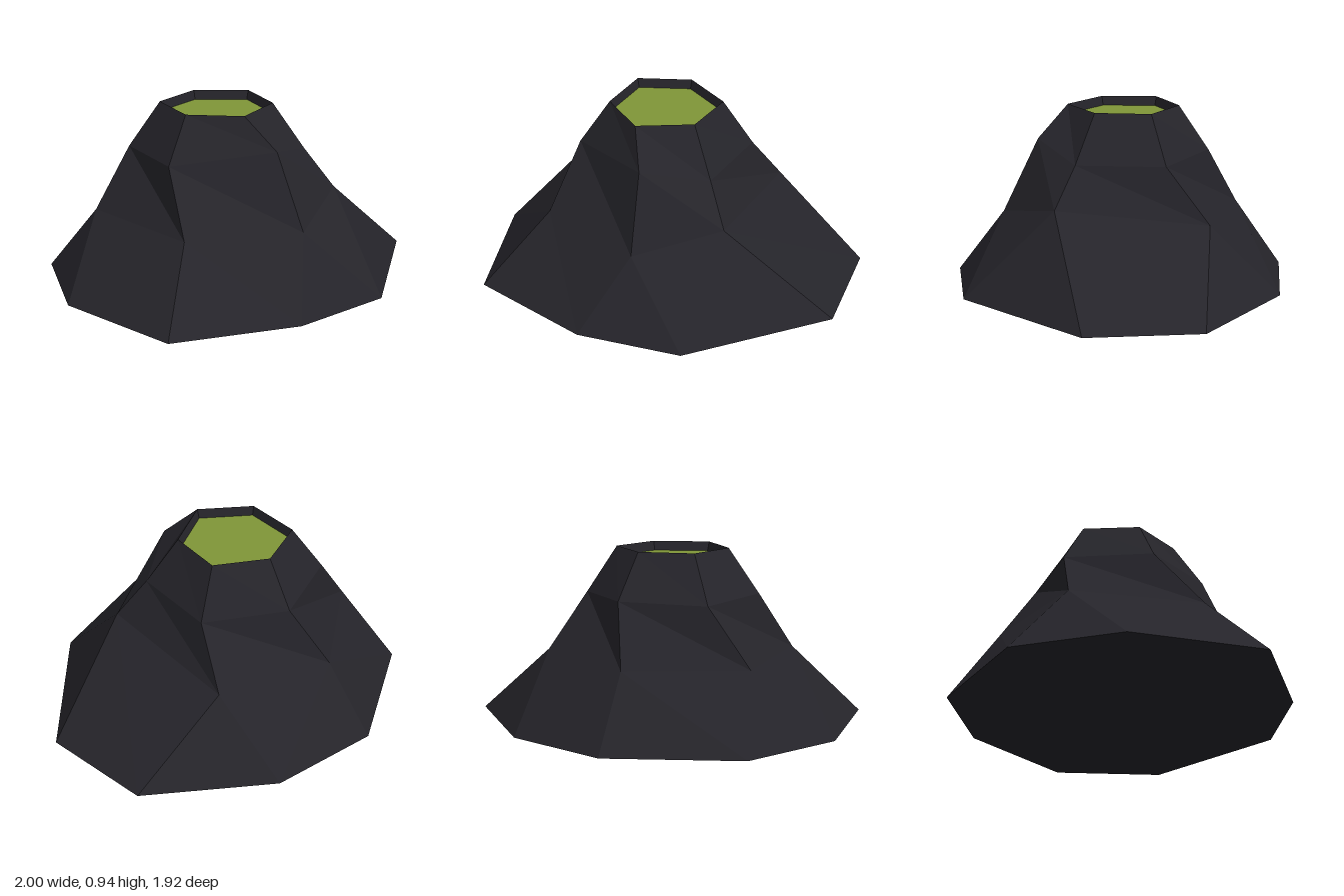
import * as THREE from 'three';

// Mountain outlines as [x, y, z], ordered clockwise seen from above
const foot = [
  [-0.03, 0, -0.96], [0.69, 0, -0.83], [1, 0, -0.31], [0.74, 0, 0.51], [0.27, 0, 0.82],
  [-0.41, 0, 0.96], [-0.9, 0, 0.44], [-1, 0, -0.15], [-0.6, 0, -0.76],
];
const lower = [
  [0.2, 0.4, -0.65], [0.55, 0.48, 0.07], [0.32, 0.38, 0.5],
  [-0.3, 0.38, 0.58], [-0.74, 0.38, 0.03], [-0.44, 0.38, -0.55],
];
const upper = [
  [0.22, 0.69, -0.41], [0.39, 0.69, 0.03], [0.2, 0.77, 0.35],
  [-0.36, 0.7, 0.32], [-0.55, 0.69, -0.11], [-0.24, 0.7, -0.46],
];
const rim = [
  [0.12, 0.94, -0.28], [0.22, 0.94, 0], [0.04, 0.94, 0.25],
  [-0.26, 0.94, 0.19], [-0.38, 0.94, -0.09], [-0.18, 0.94, -0.31],
];
// Crater floor: the rim drawn in slightly and sunk
const floor = rim.map(([x, , z]) => [-0.08 + (x + 0.08) * 0.95, 0.89, -0.035 + (z + 0.035) * 0.95]);

// First foot corner of each ridge's fan
const fanStart = [0, 1, 3, 4, 6, 7, 9];

// Faceted band between two rings with the same number of corners
function band(low, high) {
  return low.flatMap((p, i) => {
    const j = (i + 1) % low.length;
    return [p, high[i], high[j], p, high[j], low[j]];
  });
}

// Flat cap; rings run clockwise from above, so reverse for an upward face
function cap(ring, up) {
  const tris = [];
  for (let i = 1; i < ring.length - 1; i++) {
    tris.push(ring[0], ...(up ? [ring[i + 1], ring[i]] : [ring[i], ring[i + 1]]));
  }
  return tris;
}

// Spreading skirt that joins six ridges to nine foot corners
function skirt() {
  const tris = [];
  lower.forEach((top, i) => {
    for (let k = fanStart[i]; k < fanStart[i + 1]; k++) {
      tris.push(foot[k], top, foot[(k + 1) % foot.length]);
    }
    tris.push(foot[fanStart[i + 1] % foot.length], top, lower[(i + 1) % lower.length]);
  });
  return tris;
}

function facetMesh(name, corners, color) {
  const geometry = new THREE.BufferGeometry();
  geometry.setAttribute('position', new THREE.Float32BufferAttribute(corners.flat(), 3));
  geometry.computeVertexNormals();
  const mesh = new THREE.Mesh(geometry, new THREE.MeshStandardMaterial({ color, flatShading: true }));
  mesh.name = name;
  return mesh;
}

export function createModel() {
  const group = new THREE.Group();
  group.name = 'volcano';
  const rock = 0x25242a;
  group.add(
    facetMesh('mountainSlopes', [...skirt(), ...band(lower, upper), ...band(upper, rim)], rock),
    facetMesh('craterWall', band(rim, floor), rock),
    facetMesh('mountainBase', cap(foot, false), rock),
    facetMesh('craterPool', cap(floor, true), 0x809638),
  );
  return group;
}
